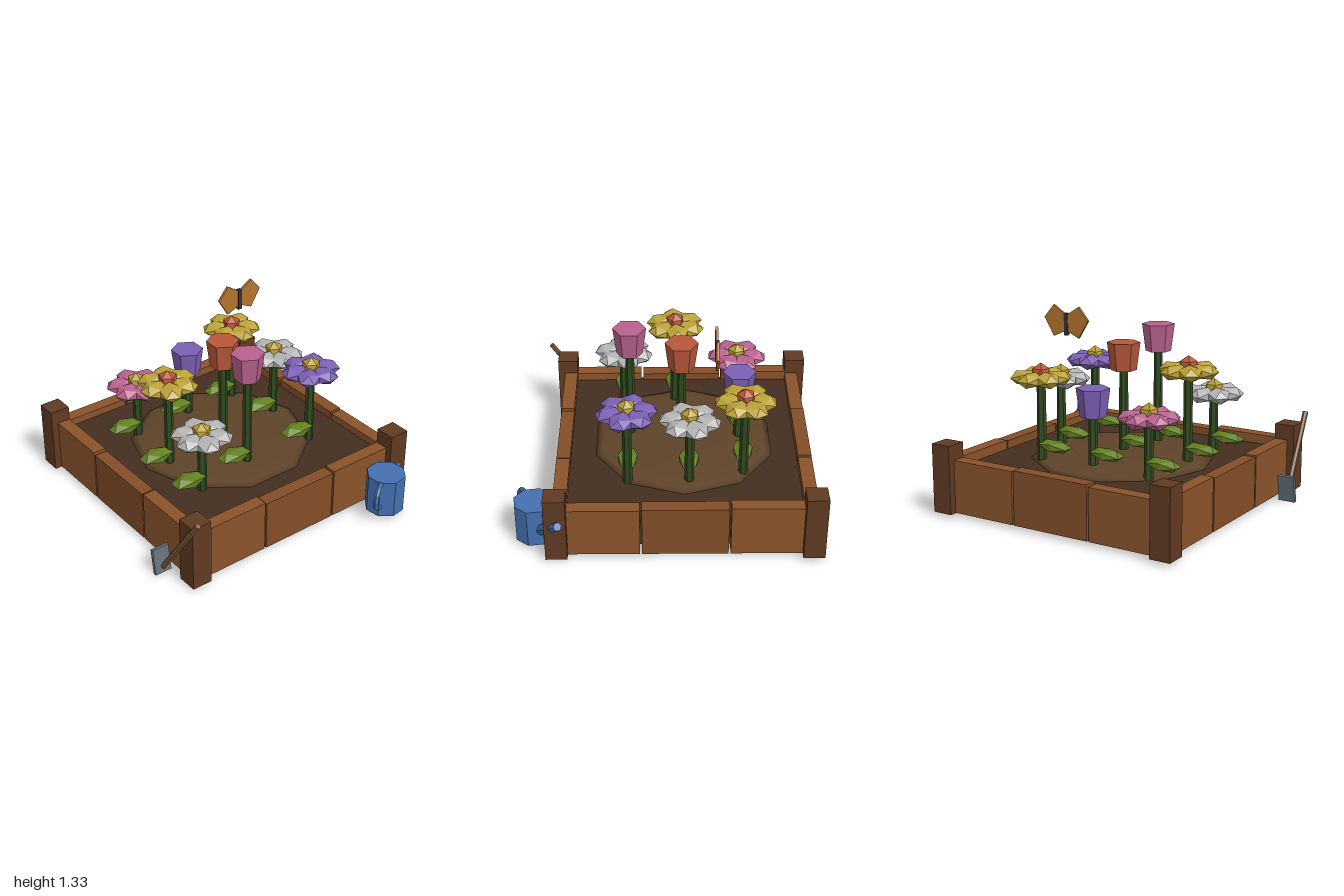
import * as THREE from 'three';

const mat = (color, flat = true) => new THREE.MeshStandardMaterial({ color, flatShading: flat });
const M = {
  plank: mat(0x8a532a), plankAlt: mat(0x834e27), post: mat(0x603a22), soil: mat(0x432f20), mound: mat(0x5e4329, false),
  stem: mat(0x2f4a1f), leaf: mat(0x63801f), pink: mat(0xb9628f), yellow: mat(0xbca237), white: mat(0xb4b4b4),
  purple: mat(0x7d60b5), orange: mat(0xb9573a), centreYellow: mat(0xb89c30), blue: mat(0x4470b0),
  steel: mat(0x66707c), wood: mat(0x7d5a35), wing: mat(0xb3742f), dark: mat(0x30343e),
};

function add(parent, name, geometry, material, x = 0, y = 0, z = 0) {
  const mesh = new THREE.Mesh(geometry, material);
  mesh.name = name;
  mesh.position.set(x, y, z);
  parent.add(mesh);
  return mesh;
}

// Straight rod between two points
function rod(parent, name, a, b, r0, r1, sides, material) {
  const p = new THREE.Vector3(...a), q = new THREE.Vector3(...b);
  const mesh = add(parent, name, new THREE.CylinderGeometry(r1, r0, p.distanceTo(q), sides), material);
  mesh.position.copy(p).add(q).multiplyScalar(0.5);
  mesh.quaternion.setFromUnitVectors(new THREE.Vector3(0, 1, 0), q.sub(p).normalize());
  return mesh;
}

// Faceted lump with the given half sizes; its ends along x are short edges
const lump = (hx, hy, hz) => new THREE.IcosahedronGeometry(1 / 0.8507).scale(hx, hy, hz);

function group(parent, name, x, y, z) {
  const g = new THREE.Group();
  g.name = name;
  g.position.set(x, y, z);
  parent.add(g);
  return g;
}

// Stem and leaf shared by all flowers
function stemAndLeaf(g, top) {
  add(g, 'stem', new THREE.CylinderGeometry(0.029, 0.032, top - 0.28, 6), M.stem, 0, (top + 0.28) / 2, 0);
  add(g, 'leaf', lump(0.11, 0.036, 0.064), M.leaf, -0.105, 0.443, 0).rotation.z = 0.05;
}

function daisy(parent, x, z, y, petal, centre, turn) {
  const g = group(parent, 'daisy', x, 0, z);
  stemAndLeaf(g, y);
  for (let i = 0; i < 6; i++) {
    const a = turn + (i * Math.PI) / 3;
    const m = add(g, 'petal', lump(0.085, 0.045, 0.075), petal, Math.cos(a) * 0.108, y, -Math.sin(a) * 0.108);
    m.rotation.y = a;
  }
  // Centre stands on a point so a five-sided cap shows
  const cap = new THREE.IcosahedronGeometry(0.066).rotateX(-1.0172);
  add(g, 'flowerCentre', cap, centre, 0, y + 0.033, 0);
}

function tulip(parent, x, z, bottom, petal) {
  const g = group(parent, 'tulip', x, 0, z);
  stemAndLeaf(g, bottom + 0.02);
  add(g, 'tulipCup', new THREE.CylinderGeometry(0.11, 0.086, 0.186, 6), petal, 0, bottom + 0.093, 0);
}

function planterBed(parent) {
  const bed = group(parent, 'planterBed', 0.01, 0, -0.11);
  add(bed, 'soil', new THREE.BoxGeometry(1.56, 0.27, 1.56), M.soil, 0, 0.195, 0);
  add(bed, 'soilMound', new THREE.SphereGeometry(0.62, 10, 8).scale(1, 0.075, 1), M.mound, -0.005, 0.328, 0);
  const heights = [0.36, 0.347, 0.353];
  for (let side = 0; side < 4; side++) {
    const wall = group(bed, 'wall', 0, 0, 0);
    wall.rotation.y = (side * Math.PI) / 2;
    // Three slightly uneven planks per wall
    for (let i = 0; i < 3; i++) {
      const h = heights[(i + side) % 3];
      add(wall, 'plank', new THREE.BoxGeometry(0.553, h, 0.09), i === 1 ? M.plankAlt : M.plank,
        (i - 1) * 0.566, 0.033 + h / 2, 0.798);
    }
    add(wall, 'cornerPost', new THREE.BoxGeometry(0.14, 0.46, 0.14), M.post, 0.821, 0.26, 0.821);
  }
}

function wateringCan(parent) {
  const can = group(parent, 'wateringCan', 0.645, 0, 0.865);
  can.rotation.y = Math.PI / 6;
  add(can, 'canBody', new THREE.CylinderGeometry(0.132, 0.132, 0.268, 8), M.blue, 0, 0.172, 0);
  rod(can, 'spout', [0.11, 0.15, 0], [0.355, 0.34, 0], 0.042, 0.028, 6, M.blue);
  const handle = add(can, 'canHandle', new THREE.TorusGeometry(0.09, 0.018, 5, 6, Math.PI), M.blue, -0.125, 0.205, 0);
  handle.rotation.z = Math.PI / 2;
}

function spade(parent) {
  const g = group(parent, 'spade', 0, 0, 0);
  const blade = add(g, 'spadeBlade', new THREE.BoxGeometry(0.118, 0.18, 0.025), M.steel, -0.915, 0.098, 0.483);
  blade.rotation.x = -0.15;
  rod(g, 'spadeHandle', [-0.91, 0.05, 0.5], [-0.876, 0.55, 0.832], 0.019, 0.019, 6, M.wood);
}

function butterfly(parent) {
  const g = group(parent, 'butterfly', 0.317, 1.22, -0.31);
  add(g, 'butterflyBody', new THREE.BoxGeometry(0.028, 0.145, 0.026), M.dark);
  for (const s of [-1, 1]) {
    const outline = [[0, 0.06], [0.098, 0.122], [0.172, 0.035], [0.098, -0.085], [0, -0.04]];
    const shape = new THREE.Shape(outline.map(([x, y]) => new THREE.Vector2(s * x, y)));
    add(g, s > 0 ? 'leftWing' : 'rightWing',
      new THREE.ExtrudeGeometry(shape, { depth: 0.016, bevelEnabled: false }), M.wing, 0, 0, -0.008);
  }
}

export function createModel() {
  const model = new THREE.Group();
  model.name = 'flowerBed';
  planterBed(model);

  // Flowers in three columns
  daisy(model, -0.42, -0.485, 0.727, M.pink, M.centreYellow, 0.45);
  daisy(model, -0.455, -0.06, 0.955, M.yellow, M.orange, 0.1);
  daisy(model, -0.45, 0.295, 0.738, M.white, M.centreYellow, 0.25);
  daisy(model, 0.395, -0.495, 0.89, M.yellow, M.orange, 0.5);
  daisy(model, 0.49, -0.14, 0.81, M.white, M.centreYellow, 0.35);
  daisy(model, 0.48, 0.26, 0.87, M.purple, M.centreYellow, 0.75);
  tulip(model, 0, -0.48, 0.68, M.purple);
  tulip(model, 0.015, -0.095, 0.912, M.orange);
  tulip(model, -0.045, 0.245, 0.99, M.pink);

  wateringCan(model);
  spade(model);
  butterfly(model);
  return model;
}
